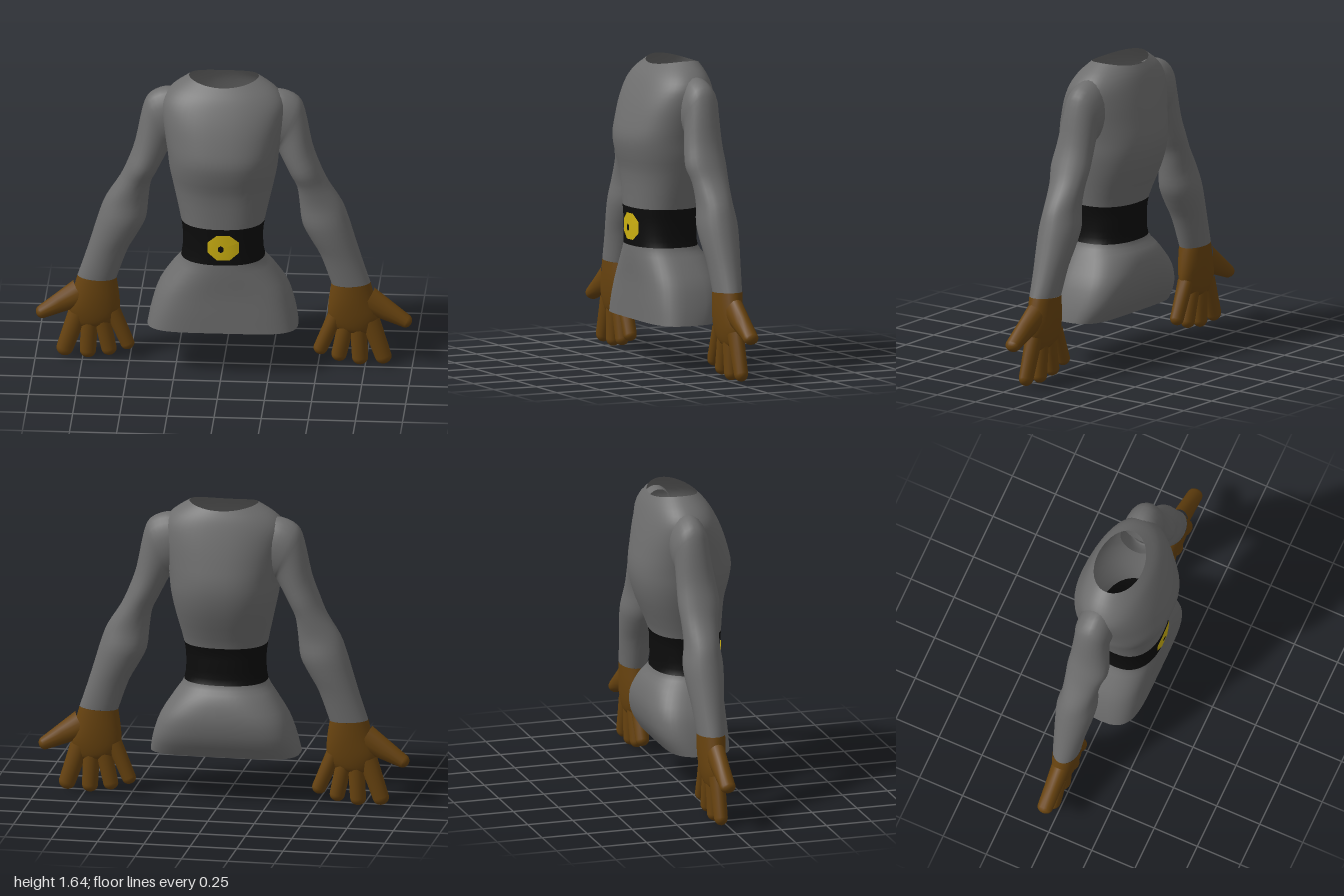
import * as THREE from 'three';

const material = (name, color, side = THREE.FrontSide) => {
  const m = new THREE.MeshStandardMaterial({ color, side });
  m.name = name;
  return m;
};

// Catmull-Rom interpolation of every column; original rows are kept
function refine(rows, steps) {
  const out = [];
  for (let i = 0; i < rows.length - 1; i++) {
    const p = rows[Math.max(i - 1, 0)], a = rows[i], b = rows[i + 1], q = rows[Math.min(i + 2, rows.length - 1)];
    for (let s = 0; s < steps; s++) {
      const t = s / steps;
      out.push(a.map((v, k) => 0.5 * (2 * v + (b[k] - p[k]) * t
        + (2 * p[k] - 5 * v + 4 * b[k] - q[k]) * t * t
        + (3 * v - p[k] - 3 * b[k] + q[k]) * t * t * t)));
    }
  }
  out.push(rows[rows.length - 1]);
  return out;
}

// Skin over closed rings; point(row, angle) returns [x, y, z]
function loft(rows, segs, point) {
  const pos = [], idx = [];
  for (const row of rows)
    for (let j = 0; j < segs; j++) pos.push(...point(row, (j / segs) * Math.PI * 2));
  for (let i = 0; i < rows.length - 1; i++)
    for (let j = 0; j < segs; j++) {
      const k = (j + 1) % segs;
      const a = i * segs + j, b = i * segs + k, c = b + segs, d = a + segs;
      idx.push(a, b, c, a, c, d);
    }
  const g = new THREE.BufferGeometry();
  g.setAttribute('position', new THREE.Float32BufferAttribute(pos, 3));
  g.setIndex(idx);
  g.computeVertexNormals();
  return g;
}

const power = (v, e) => Math.sign(v) * Math.pow(Math.abs(v), e);

// Torso section: y, half width, front z, back z, squareness, centre pinch, side lift
const TORSO = [
  [0.265, 0.40, 0.225, -0.165, 3.0, 0.12, 0],
  [0.36, 0.38, 0.225, -0.22, 3.0, 0.10, 0],
  [0.475, 0.34, 0.22, -0.235, 2.8, 0.07, 0],
  [0.585, 0.27, 0.215, -0.20, 2.5, 0.02, 0],
  [0.66, 0.222, 0.212, -0.15, 2.3, 0, 0],
  [0.765, 0.212, 0.212, -0.147, 2.3, 0, 0],
  [0.865, 0.222, 0.217, -0.155, 2.3, 0, 0],
  [1.04, 0.262, 0.228, -0.225, 2.3, 0, 0],
  [1.15, 0.285, 0.255, -0.255, 2.3, 0, 0],
  [1.24, 0.295, 0.267, -0.26, 2.3, 0, 0],
  [1.335, 0.31, 0.245, -0.246, 2.3, 0, 0],
  [1.435, 0.325, 0.21, -0.226, 2.3, 0, 0],
  [1.52, 0.325, 0.17, -0.205, 2.2, 0, 0],
  [1.58, 0.275, 0.133, -0.186, 2.1, 0, 0.008],
  [1.625, 0.185, 0.09, -0.165, 2.0, 0, 0.024],
];

function torsoPoint([y, w, front, back, n, pinch, lift], a) {
  const s = Math.sin(a), c = Math.cos(a);
  const mid = (front + back) / 2, depth = (front - back) / 2;
  return [
    w * power(s, 2 / n),
    y + lift * s * s,
    mid + depth * power(c, 2 / n) * (1 - pinch * c ** 4),
  ];
}

// Limb section: outer x, y, inner x, y, half depth, centre z
const SLEEVE = [
  [0.22, 1.57, 0.20, 1.30, 0.09, -0.04],
  [0.31, 1.575, 0.24, 1.26, 0.10, -0.04],
  [0.395, 1.535, 0.27, 1.24, 0.10, -0.04],
  [0.432, 1.455, 0.285, 1.235, 0.096, -0.038],
  [0.47, 1.27, 0.32, 1.17, 0.106, -0.03],
  [0.512, 1.15, 0.355, 1.10, 0.113, -0.027],
  [0.555, 1.055, 0.388, 1.03, 0.10, -0.035],
  [0.628, 0.94, 0.402, 0.925, 0.094, -0.038],
  [0.665, 0.84, 0.415, 0.82, 0.106, -0.04],
  [0.695, 0.74, 0.46, 0.73, 0.10, -0.04],
  [0.735, 0.61, 0.513, 0.635, 0.085, -0.04],
  [0.777, 0.485, 0.57, 0.475, 0.072, -0.038],
];
const PALM = [
  [0.777, 0.485, 0.57, 0.475, 0.073, -0.038],
  [0.80, 0.40, 0.555, 0.37, 0.07, -0.037],
  [0.825, 0.30, 0.553, 0.285, 0.06, -0.037],
  [0.80, 0.225, 0.58, 0.23, 0.046, -0.037],
  [0.77, 0.195, 0.62, 0.205, 0.03, -0.037],
  [0.70, 0.188, 0.68, 0.19, 0.003, -0.037],
];

const limbPoint = (side) => ([ox, oy, ix, iy, h, z], a) => {
  const c = Math.cos(a) / 2;
  return [
    side * ((ox + ix) / 2 + (ox - ix) * c),
    (oy + iy) / 2 + (oy - iy) * c,
    z + side * h * Math.sin(a),
  ];
};

// Round-ended finger from base to tip centre
function fingerRows([bx, by, tx, ty, r0, r1], depth) {
  const len = Math.hypot(tx - bx, ty - by), dx = (tx - bx) / len, dy = (ty - by) / len;
  const row = (d, r, h) => {
    const x = bx + dx * d, y = by + dy * d;
    return [x - dy * r, y + dx * r, x + dy * r, y - dx * r, h, -0.037];
  };
  const rows = [row(0, r0, depth * 1.2), row(len / 2, (r0 + r1) / 2, depth * 1.08)];
  for (let i = 0; i <= 5; i++) {
    const a = (i / 5) * Math.PI / 2;
    const k = Math.max(Math.cos(a), 0.01);
    rows.push(row(len + r1 * Math.sin(a) * 0.9, r1 * k, depth * k));
  }
  return rows;
}

// base x, y, tip centre x, y, base radius, tip radius
const FINGERS = {
  thumb: [0.76, 0.385, 0.965, 0.267, 0.078, 0.036],
  indexFinger: [0.775, 0.27, 0.845, 0.062, 0.052, 0.045],
  middleFinger: [0.712, 0.26, 0.722, 0.052, 0.046, 0.043],
  ringFinger: [0.652, 0.26, 0.61, 0.067, 0.044, 0.041],
  littleFinger: [0.592, 0.29, 0.512, 0.1, 0.042, 0.038],
};

export function createModel() {
  const cloth = material('grey cloth', 0x6e6e6e, THREE.DoubleSide);
  const black = material('black belt', 0x0c0c0c, THREE.DoubleSide);
  const leather = material('brown glove', 0x68430f);
  const gold = material('yellow buckle', 0xccb011, THREE.DoubleSide);

  const model = new THREE.Group();
  model.name = 'tunicWithGloves';
  const add = (parent, name, geometry, mat) => {
    const mesh = new THREE.Mesh(geometry, mat);
    mesh.name = name;
    parent.add(mesh);
    return mesh;
  };

  // Open torso; the belt is a band of its rings
  const steps = 3, segs = 48, perRow = segs * 6;
  const torso = loft(refine(TORSO, steps), segs, torsoPoint);
  const beltStart = 4 * steps * perRow, beltEnd = 6 * steps * perRow;
  torso.addGroup(0, beltStart, 0);
  torso.addGroup(beltStart, beltEnd - beltStart, 1);
  torso.addGroup(beltEnd, torso.index.count - beltEnd, 0);
  add(model, 'torsoAndBelt', torso, [cloth, black]);

  // Thin plates curved to follow the front of the belt
  const beltPlate = (x, y, rx, ry, sides, lift) => {
    const g = new THREE.RingGeometry(0.01, 1, sides, 5, Math.PI / sides);
    const p = g.attributes.position;
    for (let i = 0; i < p.count; i++) {
      const px = x + p.getX(i) * rx;
      const drop = Math.pow(1 - Math.pow(Math.abs(px) / 0.214, 2.3), 1 / 2.3);
      p.setXYZ(i, px, y + p.getY(i) * ry, 0.0325 + 0.181 * drop + lift);
    }
    g.computeVertexNormals();
    return g;
  };
  add(model, 'buckle', beltPlate(0.013, 0.762, 0.09, 0.076, 8, 0.005), gold);
  add(model, 'buckleHole', beltPlate(0, 0.755, 0.017, 0.02, 6, 0.008), black);

  // Arms and gloved hands, mirrored
  for (const side of [1, -1]) {
    const arm = new THREE.Group();
    arm.name = side > 0 ? 'leftArm' : 'rightArm';
    model.add(arm);
    const point = limbPoint(side);
    add(arm, 'sleeve', loft(refine(SLEEVE, 3), 24, point), cloth);
    add(arm, 'palm', loft(refine(PALM, 3), 24, point), leather);
    for (const [name, spec] of Object.entries(FINGERS))
      add(arm, name, loft(fingerRows(spec, name === 'thumb' ? 0.042 : 0.036), 14, point), leather);
  }
  return model;
}
